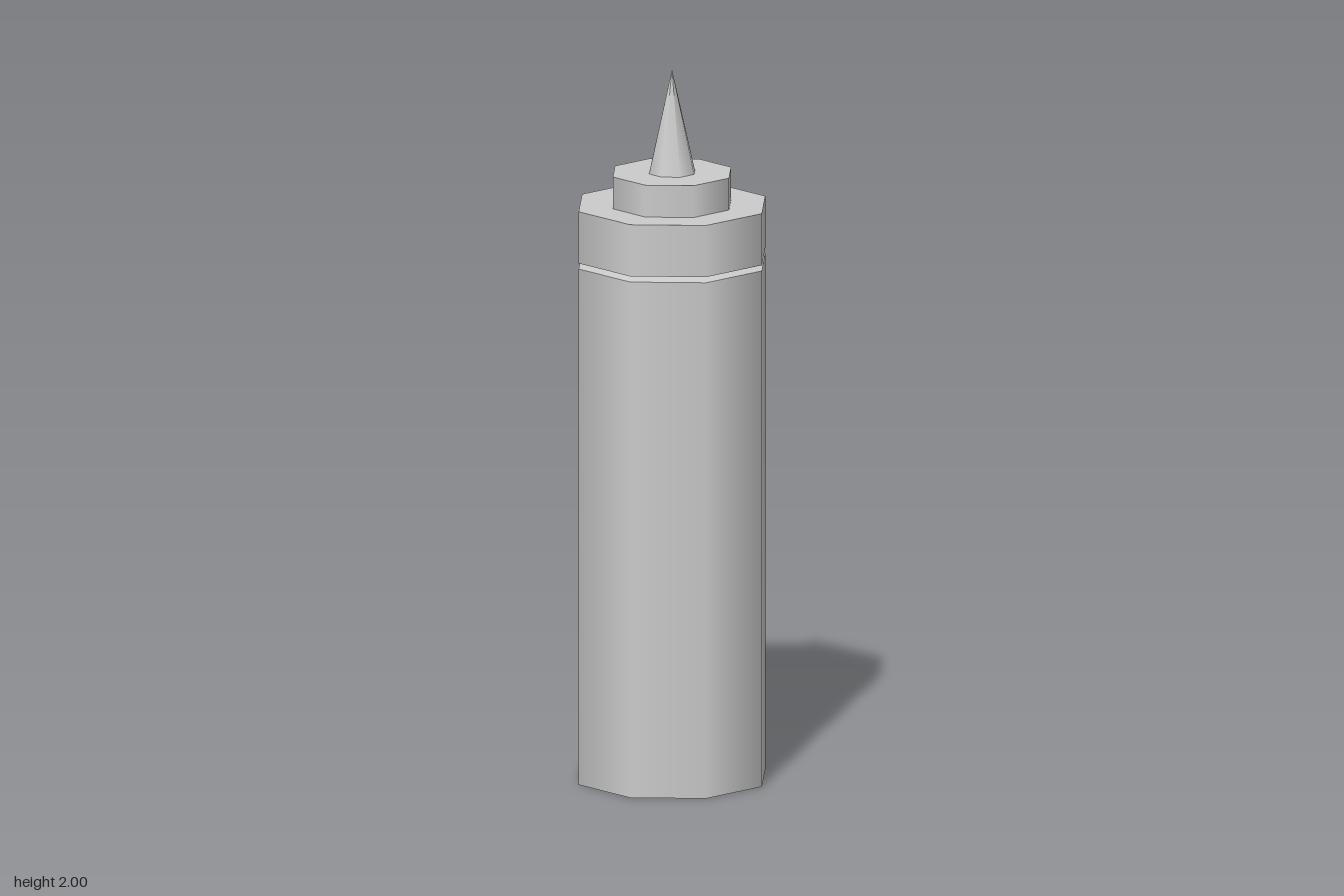
import * as THREE from 'three';

export function createModel() {
  const group = new THREE.Group();
  group.name = 'squeezeBottle';
  const plastic = new THREE.MeshStandardMaterial({ color: 0xcccccc });
  plastic.name = 'grey plastic';

  // Smooth-shaded eight-sided section between two heights
  function section(name, y0, y1, r0, r1 = r0, open = false) {
    const geometry = new THREE.CylinderGeometry(r1, r0, y1 - y0, 8, 1, open);
    const mesh = new THREE.Mesh(geometry, plastic);
    mesh.name = name;
    mesh.position.y = (y0 + y1) / 2;
    group.add(mesh);
  }

  const R = 0.273;
  // Bottle body with a sloping shoulder
  section('body', 0, 1.458, R);
  section('shoulder', 1.458, 1.466, R, 0.236, true);
  // Narrow neck inside the groove
  section('neck', 1.458, 1.475, 0.236);
  // Screw cap, raised collar and pointed nozzle
  section('cap', 1.474, 1.62, R);
  section('collar', 1.62, 1.71, 0.173);
  section('nozzle', 1.71, 2, 0.067, 0);

  return group;
}
